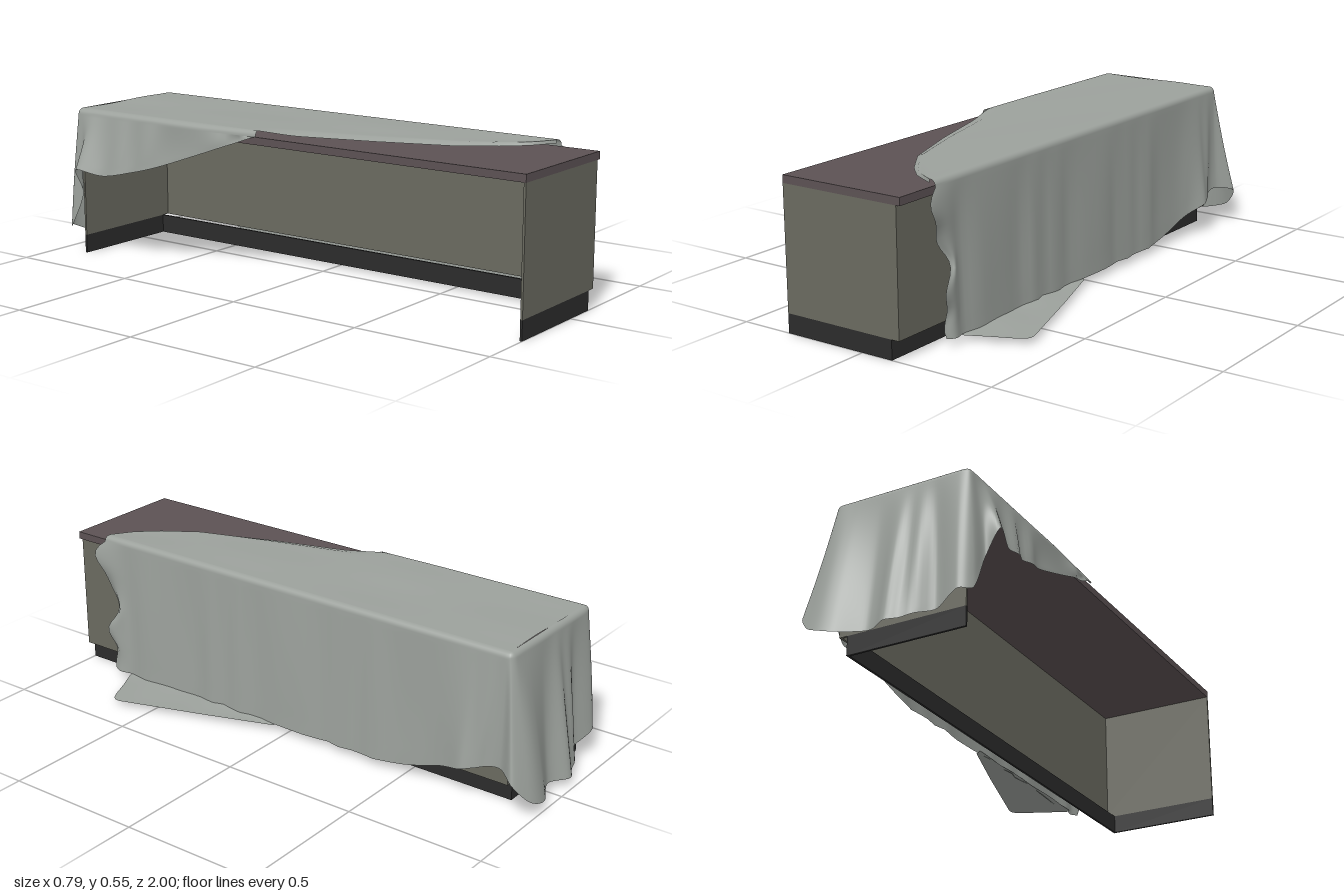
import * as THREE from 'three';

const material = (color, side = THREE.FrontSide) => new THREE.MeshStandardMaterial({ color, side });

// Box given by its minimum and maximum corners
function box(name, mat, [x0, y0, z0], [x1, y1, z1]) {
  const mesh = new THREE.Mesh(new THREE.BoxGeometry(x1 - x0, y1 - y0, z1 - z0), mat);
  mesh.position.set((x0 + x1) / 2, (y0 + y1) / 2, (z0 + z1) / 2);
  mesh.name = name;
  return mesh;
}

// Smooth surface from a function of two parameters in 0..1
function surface(nu, nv, point) {
  const positions = [], index = [];
  for (let i = 0; i <= nu; i++) {
    for (let j = 0; j <= nv; j++) {
      positions.push(...point(i / nu, j / nv));
      if (i === nu || j === nv) continue;
      const a = i * (nv + 1) + j, b = a + nv + 1;
      index.push(a, a + 1, b, b, a + 1, b + 1);
    }
  }
  const geometry = new THREE.BufferGeometry();
  geometry.setAttribute('position', new THREE.Float32BufferAttribute(positions, 3));
  geometry.setIndex(index);
  geometry.computeVertexNormals();
  return geometry;
}

// Straight-line interpolation in a list of [input, output] pairs
function lookup(table, v) {
  for (let i = 1; i < table.length; i++) {
    const [a, fa] = table[i - 1], [b, fb] = table[i];
    if (v <= b) return fa + (fb - fa) * Math.max(0, (v - a) / (b - a));
  }
  return table[table.length - 1][1];
}

const { lerp, clamp, smoothstep } = THREE.MathUtils;
const TOP = 0.549, BACK = -0.875, LEFT = -0.3, RIGHT = 0.162;

// Diagonal free edge of the cloth on the counter: z to x
const freeEdge = [[-0.06, LEFT], [0.35, -0.18], [0.6, -0.09], [0.73, 0], [0.8, 0.07], [0.845, 0.155]];

// Hanging cloth around the rim: shoulder x, z, then hem x, y, z
const drape = [
  [-0.315, -0.05, -0.32, 0.53, -0.05],
  [-0.325, -0.3, -0.33, 0.44, -0.3],
  [-0.325, -0.5, -0.345, 0.365, -0.52],
  [-0.325, -0.7, -0.375, 0.32, -0.72],
  [-0.325, -0.8, -0.395, 0.335, -0.83],
  [-0.325, -0.86, -0.345, 0.24, -0.84],
  [-0.32, -0.885, -0.345, 0.11, -0.9],
  [-0.29, -0.895, -0.31, 0.1, -0.93],
  [-0.2, -0.895, -0.22, 0.06, -0.92],
  [-0.1, -0.895, -0.1, 0.03, -0.98],
  [0, -0.895, 0, 0.03, -0.95],
  [0.1, -0.895, 0.1, 0.03, -0.99],
  [0.16, -0.895, 0.19, 0.06, -0.99],
  [0.178, -0.885, 0.25, 0.13, -0.95],
  [0.182, -0.87, 0.205, 0.15, -0.88],
  [0.182, -0.84, 0.195, 0.14, -0.82],
  [0.182, -0.76, 0.235, 0.12, -0.75],
  [0.182, -0.68, 0.195, 0.09, -0.66],
  [0.182, -0.45, 0.195, 0.03, -0.45],
  [0.182, 0, 0.195, 0.025, 0],
  [0.182, 0.4, 0.195, 0.025, 0.4],
  [0.182, 0.75, 0.2, 0.025, 0.74],
  [0.182, 0.85, 0.205, 0.03, 0.81],
];

function topPoint(u, v) {
  const z = lerp(BACK, 0.845, u), x0 = lookup(freeEdge, z);
  const x = lerp(x0, RIGHT, v);
  const lift = 0.003 * Math.sin(x * 13 + 1) * Math.sin(z * 6) * Math.sin(Math.PI * v);
  const edge = smoothstep(z, -0.1, 0.1) * (1 - smoothstep(v, 0, 0.12)) * 0.012;
  return [x, TOP + lift - edge, z];
}

function drapePoint(shoulders, hems) {
  return (u, v) => {
    const s = shoulders.getPoint(u), h = hems.getPoint(u);
    // Inner rim, so that the first rows make a rounded shoulder
    const rx = clamp(s.x, LEFT, RIGHT), rz = clamp(s.z, BACK, 0.845);
    if (v < 0.2) {
      const a = v / 0.2 * Math.PI / 2;
      return [lerp(rx, s.x, Math.sin(a)), lerp(s.y, TOP, Math.cos(a)), lerp(rz, s.z, Math.sin(a))];
    }
    const t = (v - 0.2) / 0.8;
    // Soft vertical folds that grow downward, and a ragged front end
    const out = new THREE.Vector2(s.x - rx, s.z - rz).normalize();
    const along = s.z * 31 + s.x * 47;
    const fold = 0.007 * Math.sin(along + 2 * Math.sin(along * 0.37)) * Math.sin(Math.PI * Math.min(t * 1.1, 1) * 0.65);
    const end = smoothstep(u, 0.95, 1);
    const ragged = end * (0.05 * Math.sin(t * Math.PI * 3) * (1 - t) + 0.012 * Math.sin(t * 21));
    return [
      lerp(s.x, h.x, t) + out.x * fold + end * 0.014 * Math.sin(t * 12),
      lerp(s.y, h.y, t),
      lerp(s.z, h.z, t) + out.y * fold + ragged,
    ];
  };
}

export function createModel() {
  const group = new THREE.Group();
  const wood = material(0x5c5254), olive = material(0x6a6a60), dark = material(0x2c2c2c);
  const fabric = material(0x9ca19c, THREE.DoubleSide);

  // Counter, open on its left-hand long side (-x)
  group.add(box('counterTop', wood, [-0.31, 0.5, -0.88], [0.165, 0.527, 1]));
  group.add(box('sidePanel', olive, [0.142, 0.068, -0.88], [0.15, 0.5, 1]));
  group.add(box('sideKickPlate', dark, [0.112, 0, -0.88], [0.12, 0.068, 1]));
  for (const [name, z] of [['front', 0.992], ['back', -0.88]]) {
    group.add(box(name + 'Panel', olive, [-0.31, 0.068, z], [0.15, 0.5, z + 0.008]));
    group.add(box(name + 'KickPlate', dark, [-0.31, 0, z], [0.12, 0.068, z + 0.008]));
  }

  // Cloth draped diagonally over the counter
  const cloth = new THREE.Group();
  cloth.name = 'cloth';
  const addCloth = (name, geometry) => {
    const mesh = new THREE.Mesh(geometry, fabric);
    mesh.name = name;
    cloth.add(mesh);
  };
  addCloth('clothTop', surface(70, 20, (u, v) => topPoint(u, 1 - v)));

  const curve = points => new THREE.CatmullRomCurve3(points, false, 'catmullrom', 0.4);
  const shoulders = curve(drape.map(([x, z]) => new THREE.Vector3(x, 0.528, z)));
  const hems = curve(drape.map(([, , x, y, z]) => new THREE.Vector3(x, y, z)));
  addCloth('clothSkirt', surface(220, 30, (u, v) => drapePoint(shoulders, hems)(u, 1 - v)));

  // Corner of the cloth lying on the floor: z to outer x
  const flapEdge = [[0.05, 0.2], [0.3, 0.285], [0.63, 0.39], [0.66, 0.375], [0.7, 0.28], [0.74, 0.2]];
  addCloth('clothFloorFlap', surface(40, 8, (u, v) => {
    const z = lerp(0.05, 0.74, u);
    return [lerp(lookup(flapEdge, z), 0.185, v), 0.021 + 0.006 * v * v + 0.002 * Math.sin(z * 25) * v, z];
  }));
  group.add(cloth);
  return group;
}
